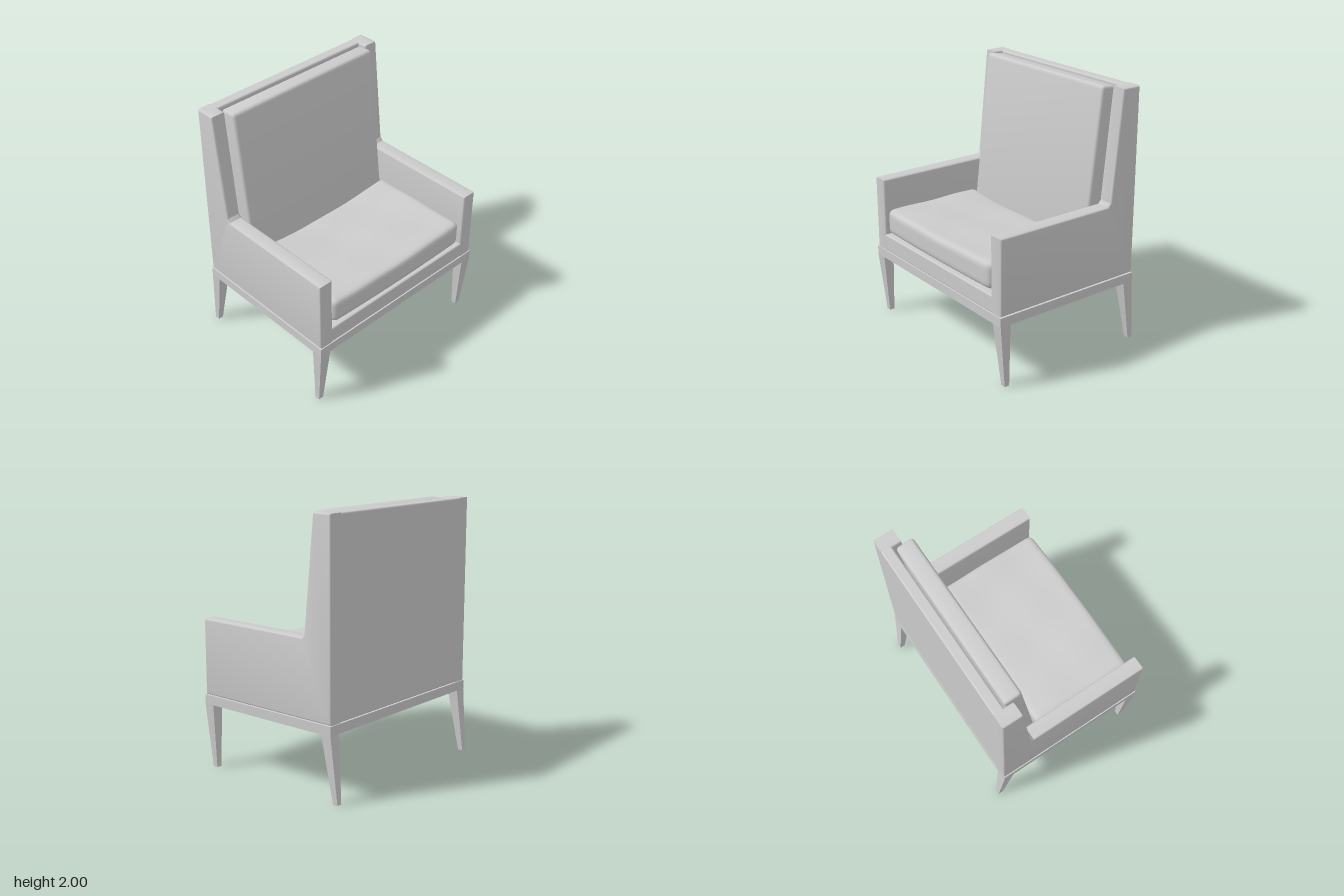
import * as THREE from 'three';
import { mergeVertices, toCreasedNormals } from 'three/addons/utils/BufferGeometryUtils.js';
import { RoundedBoxGeometry } from 'three/addons/geometries/RoundedBoxGeometry.js';

const material = new THREE.MeshStandardMaterial({ color: 0xcccccc });

function add(group, name, geometry) {
  const mesh = new THREE.Mesh(geometry, material);
  mesh.name = name;
  group.add(mesh);
  return mesh;
}

// Soft-edged box given by its limits on each axis
function softBox(x0, x1, y0, y1, z0, z1, r) {
  return new RoundedBoxGeometry(x1 - x0, y1 - y0, z1 - z0, 2, r)
    .translate((x0 + x1) / 2, (y0 + y1) / 2, (z0 + z1) / 2);
}

// Side profile of [z, y] points extruded across x with rounded edges
function sidePanel(points, x0, x1, bevel) {
  const shape = new THREE.Shape(points.map(([z, y]) => new THREE.Vector2(-z, y)));
  const geometry = new THREE.ExtrudeGeometry(shape, {
    depth: x1 - x0 - 2 * bevel, bevelEnabled: true, bevelSegments: 3,
    bevelSize: bevel, bevelThickness: bevel, bevelOffset: -bevel,
  });
  geometry.translate(0, 0, bevel).rotateY(Math.PI / 2).translate(x0, 0, 0);
  return toCreasedNormals(geometry, 0.6);
}

// Profile corners cut into short arcs
function roundCorners(points, r) {
  const v = points.map((p) => new THREE.Vector2(...p));
  return v.flatMap((p, i) => {
    const toward = (q) => p.clone().add(q.clone().sub(p).setLength(r));
    const a = toward(v[(i + v.length - 1) % v.length]);
    const b = toward(v[(i + 1) % v.length]);
    return new THREE.QuadraticBezierCurve(a, p, b).getPoints(3).map((q) => [q.x, q.y]);
  });
}

// Rounded, lightly crowned and dented seat cushion
function cushionGeometry() {
  const half = new THREE.Vector3(0.658, 0.1, 0.418);
  const r = 0.045;
  let geometry = new THREE.BoxGeometry(half.x * 2, half.y * 2, half.z * 2, 48, 10, 32);
  geometry.deleteAttribute('normal');
  geometry.deleteAttribute('uv');
  geometry = mergeVertices(geometry);
  const pos = geometry.attributes.position;
  const inner = half.clone().subScalar(r);
  const p = new THREE.Vector3();
  const core = new THREE.Vector3();
  for (let i = 0; i < pos.count; i++) {
    p.fromBufferAttribute(pos, i);
    core.copy(p).clamp(inner.clone().negate(), inner);
    p.sub(core).setLength(r).add(core);
    const u = p.x / half.x, v = p.y / half.y, w = p.z / half.z;
    if (v > 0) {
      // Sag towards the back centre, plus shallow wrinkles
      const sag = 0.022 * (1 - u * u) * (1 - w * 0.7);
      const wrinkle = 0.005 * Math.sin(5 * u + 2 * w) * Math.cos(4 * w - 3 * u);
      p.y += v * (wrinkle - sag + 0.005);
    }
    p.x += 0.007 * u * (1 - v * v) * (1 - w * w);
    p.z += 0.012 * w * (1 - u * u) * (w > 0 ? 1 : -0.6);
    pos.setXYZ(i, p.x, p.y, p.z);
  }
  geometry.computeVertexNormals();
  return geometry.translate(0, 0.808, 0.21);
}

// Square leg tapering between a top and bottom rectangle
function legGeometry(top, bottom, height) {
  const geometry = new THREE.BoxGeometry(1, 1, 1).toNonIndexed();
  const pos = geometry.attributes.position;
  for (let i = 0; i < pos.count; i++) {
    const up = pos.getY(i) > 0;
    const [x0, x1, z0, z1] = up ? top : bottom;
    pos.setXYZ(i, pos.getX(i) > 0 ? x1 : x0, up ? height : 0, pos.getZ(i) > 0 ? z1 : z0);
  }
  geometry.computeVertexNormals();
  return geometry;
}

function rectangle(Type, x0, x1, y0, y1) {
  return new Type([[x0, y0], [x1, y0], [x1, y1], [x0, y1]].map((p) => new THREE.Vector2(...p)));
}

export function createModel() {
  const chair = new THREE.Group();
  chair.name = 'armchair';

  // Open rail frame under the body
  const rails = rectangle(THREE.Shape, -0.8, 0.8, -0.64, 0.6);
  rails.holes.push(rectangle(THREE.Path, -0.715, 0.715, -0.555, 0.515));
  const frame = new THREE.ExtrudeGeometry(rails, { depth: 0.07, bevelEnabled: false });
  add(chair, 'railFrame', frame.rotateX(-Math.PI / 2).translate(0, 0.49, 0));

  // Legs: straight inner face at the front, raked at the back
  const mirrorX = ([x0, x1, z0, z1]) => [-x1, -x0, z0, z1];
  const legs = [
    ['frontLeg', [0.71, 0.8, 0.555, 0.64], [0.74, 0.78, 0.55, 0.59]],
    ['backLeg', [0.71, 0.8, -0.6, -0.515], [0.74, 0.78, -0.645, -0.605]],
  ];
  for (const [name, top, bottom] of legs) {
    add(chair, name + 'Left', legGeometry(top, bottom, 0.49));
    add(chair, name + 'Right', legGeometry(mirrorX(top), mirrorX(bottom), 0.49));
  }

  // Arm and wing panels
  const wing = [
    [0.635, 0.563], [0.635, 1.14], [-0.335, 1.14], [-0.357, 1.165],
    [-0.442, 1.995], [-0.598, 1.995], [-0.598, 0.563],
  ];
  add(chair, 'leftArm', sidePanel(wing, 0.68, 0.795, 0.014));
  add(chair, 'rightArm', sidePanel(wing, -0.795, -0.68, 0.014));

  // Seat deck and back panel joining the arms
  add(chair, 'seatDeck', softBox(-0.78, 0.78, 0.56, 0.692, -0.59, 0.635, 0.012));
  add(chair, 'backPanel', softBox(-0.78, 0.78, 0.563, 1.995, -0.598, -0.515, 0.014));

  // Leaning back cushion
  const lean = [[-0.21, 0.7], [-0.362, 2], [-0.5, 1.985], [-0.35, 0.7]];
  add(chair, 'backCushion', sidePanel(roundCorners(lean, 0.03), -0.667, 0.667, 0.02));

  add(chair, 'seatCushion', cushionGeometry());
  return chair;
}
